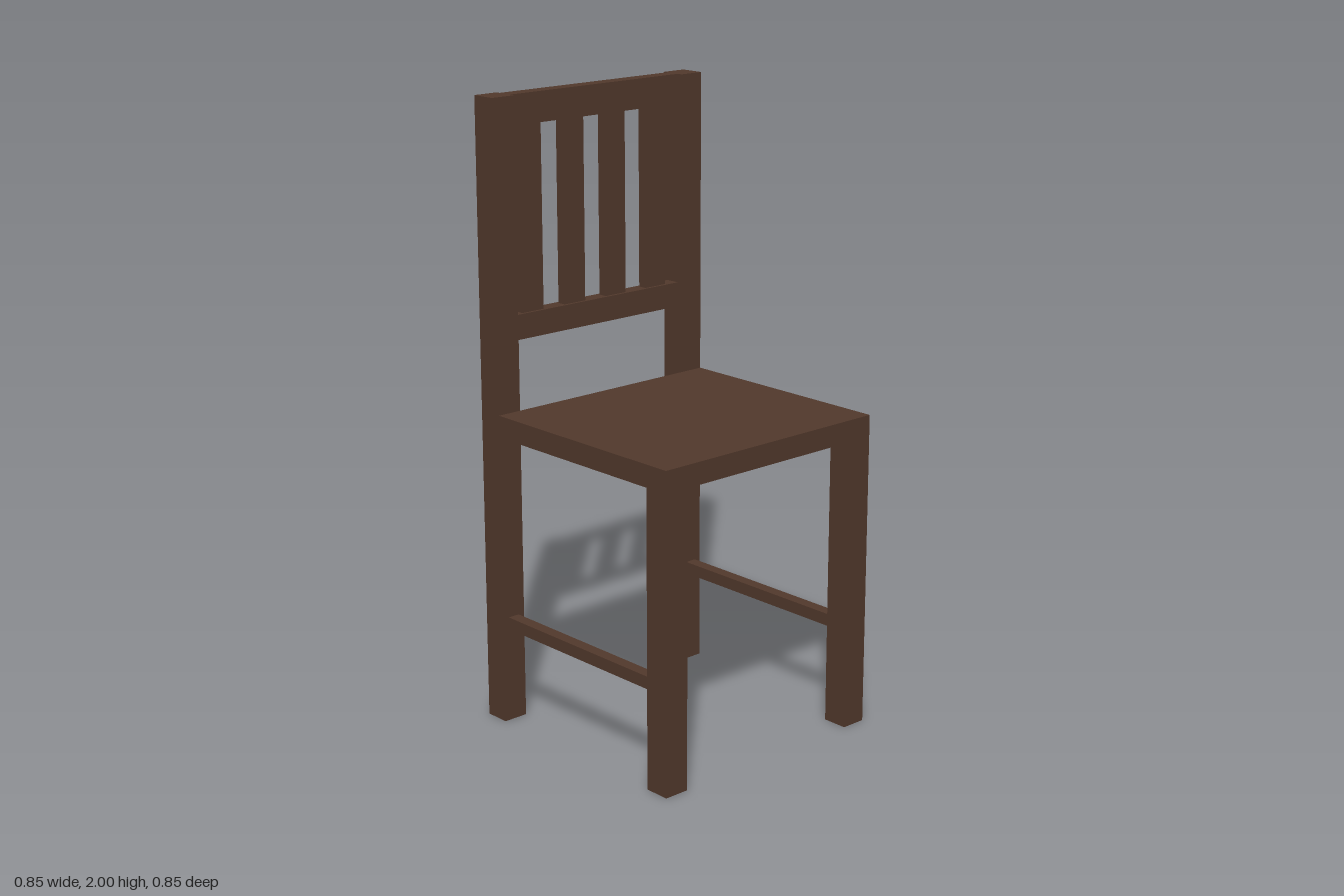
import * as THREE from 'three';

export function createModel() {
  const chair = new THREE.Group();
  chair.name = 'chair';
  const wood = new THREE.MeshStandardMaterial({ color: 0x52392c });
  wood.name = 'dark brown wood';

  // Box given by its extents along each axis
  function bar(name, [x0, x1], [y0, y1], [z0, z1]) {
    const mesh = new THREE.Mesh(new THREE.BoxGeometry(x1 - x0, y1 - y0, z1 - z0), wood);
    mesh.name = name;
    mesh.position.set((x0 + x1) / 2, (y0 + y1) / 2, (z0 + z1) / 2);
    chair.add(mesh);
  }

  const outer = 0.425, inner = 0.341;
  const seatBottom = 0.95, seatTop = 1.02;

  bar('seat', [-outer, outer], [seatBottom, seatTop], [-inner, outer]);

  // Legs, back posts and side stretchers, mirrored left and right
  for (const [side, s] of [['left', 1], ['right', -1]]) {
    const span = (a, b) => (s > 0 ? [a, b] : [-b, -a]);
    bar(side + 'FrontLeg', span(inner, outer), [0, seatBottom], [inner, outer]);
    bar(side + 'BackPost', span(inner, outer), [0, 2], [-outer, -inner]);
    bar(side + 'Stretcher', span(0.363, 0.403), [0.31, 0.35], [-inner, inner]);
  }

  // Backrest rails
  const railZ = [-0.41, -0.36];
  bar('topRail', [-inner, inner], [1.905, 2], railZ);
  bar('lowerRail', [-inner, inner], [1.24, 1.32], railZ);

  // Four upright slats
  for (let i = 0; i < 4; i++) {
    const x = -0.259 + i * 0.17;
    bar('backSlat' + (i + 1), [x - 0.0425, x + 0.0425], [1.32, 1.905], [-0.4, -0.37]);
  }

  return chair;
}
